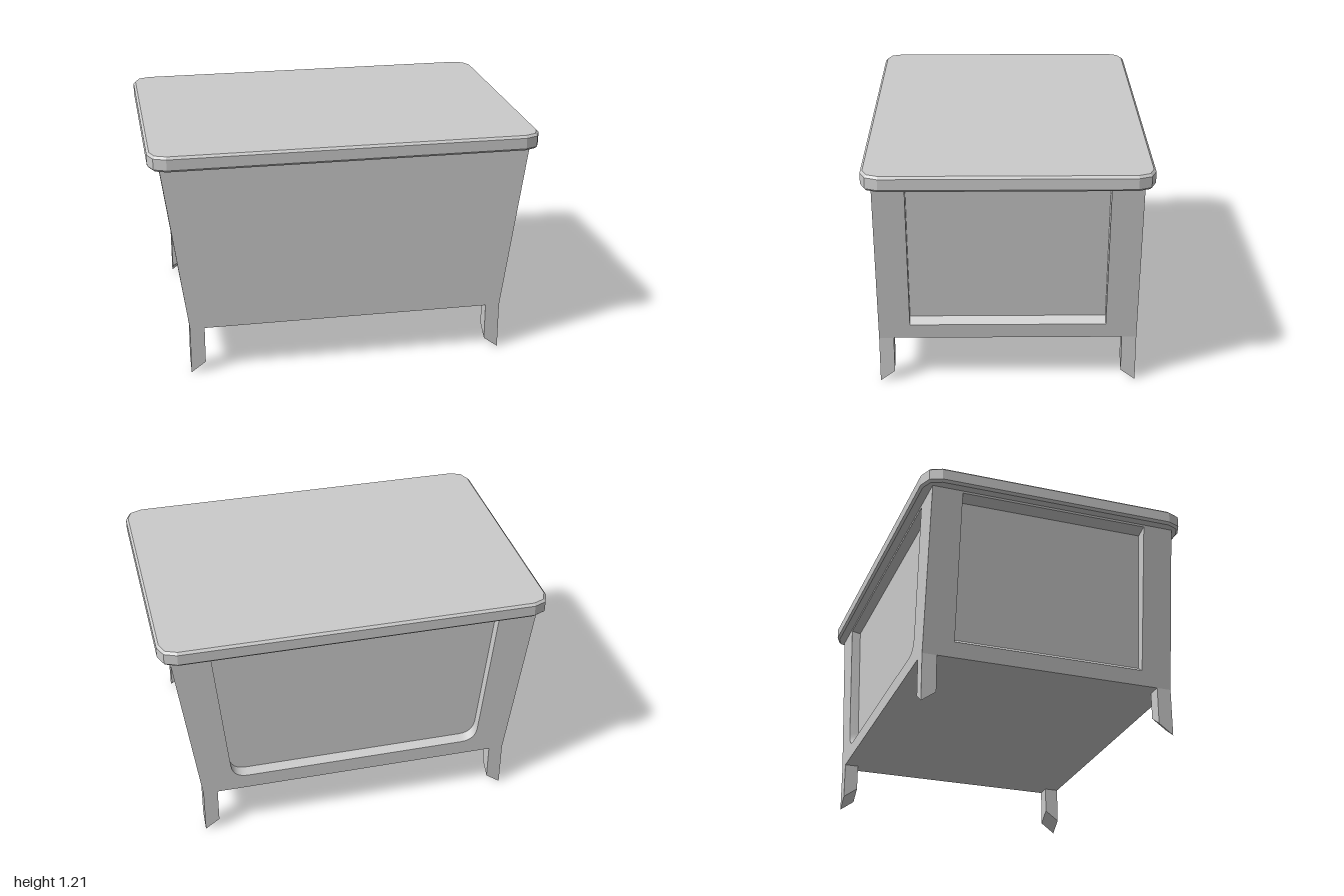
import * as THREE from 'three';
import { mergeGeometries, toCreasedNormals } from 'three/addons/utils/BufferGeometryUtils.js';

const BASE = 0.25, RIM = 1.135, HALF_Z = 0.66;
const halfX = (y) => 0.825 + (y - BASE) * 0.136; // the ends lean outward
const mat = new THREE.MeshStandardMaterial({ color: 0xcccccc });
const v2 = (p) => new THREE.Vector2(p[0], p[1]);

function add(parent, name, geometry) {
  const mesh = new THREE.Mesh(geometry, mat);
  mesh.name = name;
  parent.add(mesh);
  return mesh;
}

// Flat outline (u right, v up) mapped into space by place(u, v, depth)
function flat(outline, holes, place, sunk) {
  const shape = new THREE.Shape(outline.map(v2));
  shape.holes = holes.map((h) => new THREE.Path(h.map(v2)));
  const g = new THREE.ShapeGeometry(shape).toNonIndexed();
  const p = g.attributes.position;
  for (let i = 0; i < p.count; i++) p.setXYZ(i, ...place(p.getX(i), p.getY(i), sunk));
  g.deleteAttribute('uv');
  g.computeVertexNormals();
  return g;
}

// Sloping walls between a hole and its sunken panel
function walls(hole, inner, place) {
  const pos = [];
  hole.forEach((h, i) => {
    const j = (i + 1) % hole.length;
    const a = place(...h, false), b = place(...hole[j], false);
    const c = place(...inner[j], true), d = place(...inner[i], true);
    pos.push(...a, ...b, ...c, ...a, ...c, ...d);
  });
  const g = new THREE.BufferGeometry();
  g.setAttribute('position', new THREE.Float32BufferAttribute(pos, 3));
  g.computeVertexNormals();
  return toCreasedNormals(g, 0.6);
}

function recessedFace(parent, name, outline, hole, inner, place) {
  add(parent, name, mergeGeometries([
    flat(outline, [hole], place, false),
    walls(hole, inner, place),
    flat(inner, [], place, true),
  ]));
}

// Trapezoid opening with rounded bottom corners
function roundedOpening(bottom, top) {
  const hw = (y) => 0.665 + (y - 0.33) * 0.1;
  const r = 0.08, right = [];
  const curve = new THREE.QuadraticBezierCurve(
    new THREE.Vector2(hw(bottom) - r, bottom),
    new THREE.Vector2(hw(bottom), bottom),
    new THREE.Vector2(hw(bottom + r), bottom + r));
  for (const p of curve.getPoints(6)) right.push([p.x, p.y]);
  right.push([hw(top), top]);
  return [...right, ...right.map(([x, y]) => [-x, y]).reverse()];
}

const rect = (w, y0, y1) => [[-w, y0], [w, y0], [w, y1], [-w, y1]];

export function createModel() {
  const model = new THREE.Group();
  model.name = 'storageChest';

  // Plain front, panelled back
  const trapezoid = [[-halfX(BASE), BASE], [halfX(BASE), BASE], [halfX(RIM), RIM], [-halfX(RIM), RIM]];
  add(model, 'frontPanel', flat(trapezoid, [], (u, v) => [u, v, HALF_Z], false));
  recessedFace(model, 'backPanel', trapezoid, roundedOpening(0.33, 1.115), roundedOpening(0.345, 1.105),
    (u, v, sunk) => [-u, v, -HALF_Z + (sunk ? 0.05 : 0)]);

  // Leaning ends with rectangular recesses
  for (const s of [1, -1]) {
    recessedFace(model, s > 0 ? 'leftPanel' : 'rightPanel',
      rect(HALF_Z, BASE, RIM), rect(0.5, 0.33, 1.117), rect(0.5, 0.36, 1.1),
      (u, v, sunk) => [s * (halfX(v) - (sunk ? 0.045 + (v - 0.36) * 0.027 : 0)), v, -s * u]);
  }

  // Underside
  const floor = add(model, 'floor', new THREE.PlaneGeometry(2 * halfX(BASE), 2 * HALF_Z));
  floor.rotation.x = Math.PI / 2;
  floor.position.y = BASE;

  // Square legs, feet cut diagonally up toward the middle
  const w = 0.075, cut = 0.055;
  for (const sx of [1, -1]) for (const sz of [1, -1]) {
    const g = new THREE.BoxGeometry(w, BASE, w);
    g.translate(sx * (halfX(BASE) - w / 2), BASE / 2, sz * (HALF_Z - w / 2));
    const p = g.attributes.position;
    for (let i = 0; i < p.count; i++) {
      if (p.getY(i) > 0.1) continue;
      const inX = (halfX(BASE) - Math.abs(p.getX(i))) / w;
      const inZ = (HALF_Z - Math.abs(p.getZ(i))) / w;
      p.setY(i, cut * (inX + inZ));
    }
    g.computeVertexNormals();
    add(model, (sz > 0 ? 'front' : 'back') + (sx > 0 ? 'Left' : 'Right') + 'Leg', g);
  }

  // Lid: two-facet corners and a small bevel all round
  const bevel = 0.012, hx = 1 - bevel, hz = 0.713 - bevel, r = 0.08;
  const outline = [];
  [[1, 1], [-1, 1], [-1, -1], [1, -1]].forEach(([sx, sz], q) => {
    for (let k = 0; k < 3; k++) {
      const a = (q + k / 2) * Math.PI / 2;
      outline.push([sx * (hx - r) + r * Math.cos(a), sz * (hz - r) + r * Math.sin(a)]);
    }
  });
  const lid = new THREE.ExtrudeGeometry(new THREE.Shape(outline.map(v2)), {
    depth: 0.08 - 2 * bevel, bevelEnabled: true, bevelSize: bevel, bevelThickness: bevel, bevelSegments: 1,
  });
  lid.rotateX(-Math.PI / 2);
  lid.translate(0, 1.128 + bevel, 0);
  add(model, 'lid', lid);

  return model;
}
